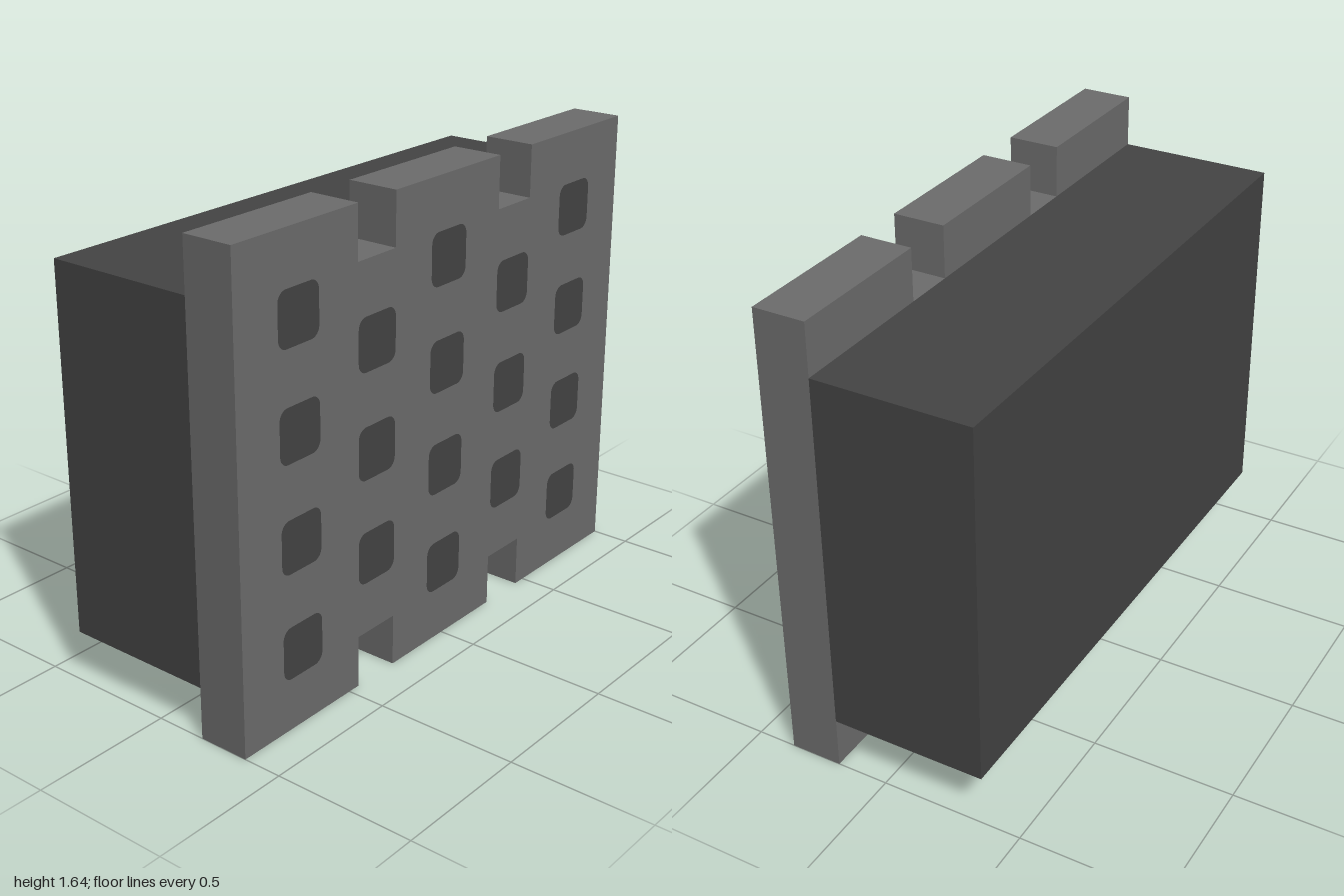
import * as THREE from 'three';

const U = 2 / 11; // grid module
const HEIGHT = 9 * U;

// Rounded square centred on (cx, cy)
function roundedSquare(cx, cy, size, r) {
  const h = size / 2;
  const s = new THREE.Shape();
  s.absarc(cx + h - r, cy + h - r, r, 0, Math.PI / 2);
  s.absarc(cx - h + r, cy + h - r, r, Math.PI / 2, Math.PI);
  s.absarc(cx - h + r, cy - h + r, r, Math.PI, Math.PI * 1.5);
  s.absarc(cx + h - r, cy - h + r, r, Math.PI * 1.5, Math.PI * 2);
  s.closePath();
  return s;
}

export function createModel() {
  const group = new THREE.Group();
  const plateGrey = new THREE.MeshStandardMaterial({ color: 0x6d6d6d });
  plateGrey.name = 'plate grey';
  const darkGrey = new THREE.MeshStandardMaterial({ color: 0x444444 });
  darkGrey.name = 'dark grey';

  const add = (name, geometry, material) => {
    const mesh = new THREE.Mesh(geometry, material);
    mesh.name = name;
    group.add(mesh);
    return mesh;
  };

  // Solid block behind the plate
  add('body', new THREE.BoxGeometry(3 * U, 7 * U, 2), darkGrey)
    .position.set(-0.5 * U, HEIGHT / 2, 0);

  // Face plate outline with two notches along the top and the bottom
  const bottom = [[-5.5, 0], [-2.5, 0], [-2.5, 1], [-1.5, 1], [-1.5, 0],
    [1.5, 0], [1.5, 1], [2.5, 1], [2.5, 0], [5.5, 0]];
  const top = bottom.map(([x, y]) => [-x, 9 - y]);
  const outline = new THREE.Shape(
    [...bottom, ...top].map(([x, y]) => new THREE.Vector2(x * U, y * U)));
  const plate = new THREE.ExtrudeGeometry(outline, { depth: U, bevelEnabled: false });
  plate.rotateY(Math.PI / 2).translate(U, 0, 0);
  add('facePlate', plate, plateGrey);

  // Staggered dark openings on the plate face
  const openings = [];
  for (let col = -2; col <= 2; col++) {
    const odd = Math.abs(col) % 2;
    for (let row = 0; row < 4 - odd; row++) {
      openings.push(roundedSquare(col * 2 * U, (1.5 + odd + row * 2) * U, U, 0.036));
    }
  }
  const faces = new THREE.ShapeGeometry(openings, 5);
  faces.rotateY(Math.PI / 2).translate(2 * U + 0.002, 0, 0);
  add('openings', faces, darkGrey);

  return group;
}
